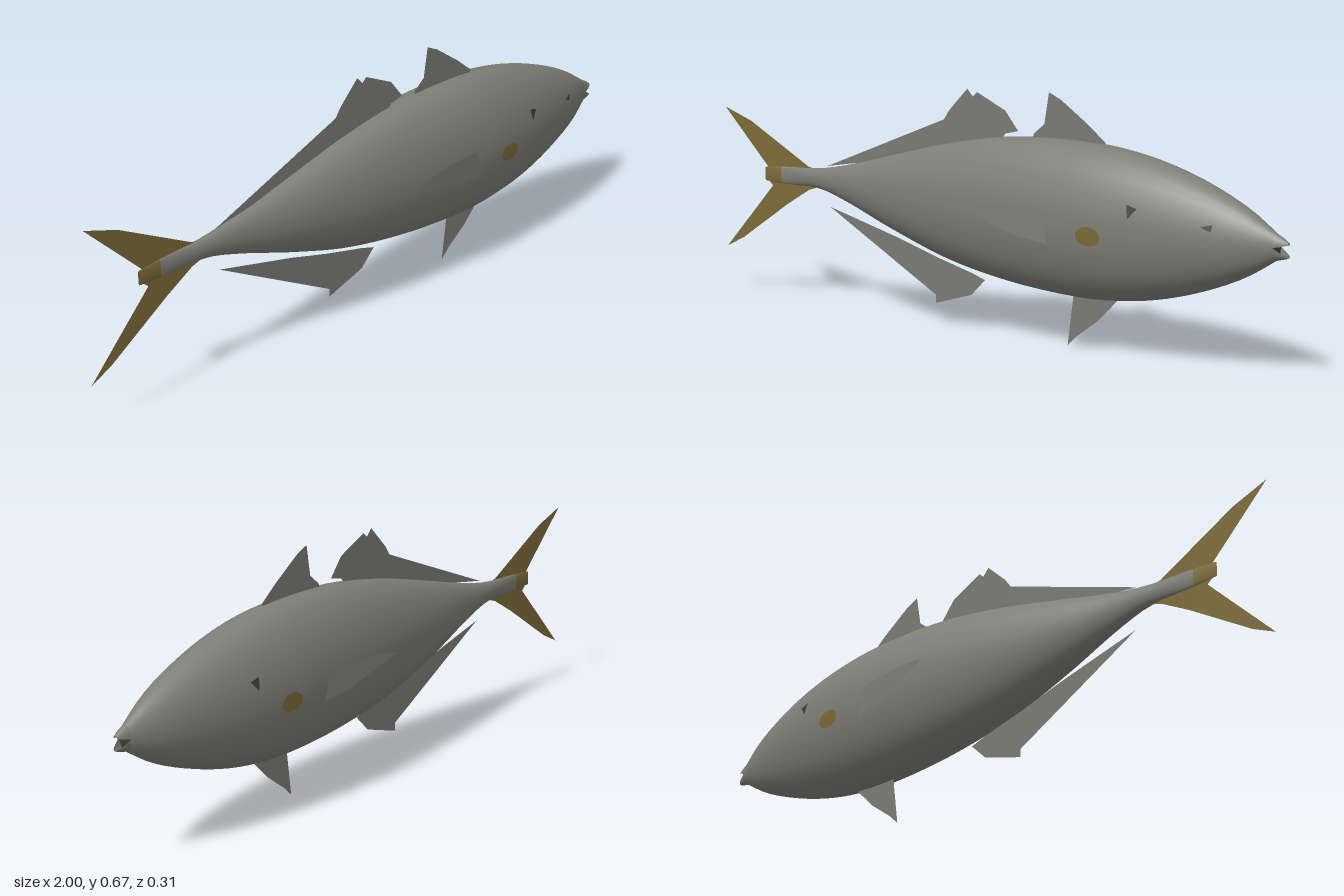
import * as THREE from 'three';
import { mergeVertices } from 'three/addons/utils/BufferGeometryUtils.js';

const mat = (name, color) => {
  const m = new THREE.MeshStandardMaterial({ color, side: THREE.DoubleSide });
  m.name = name;
  return m;
};

// Body stations: x, top, bottom, half width
const stations = [
  [-0.83, 0.378, 0.338, 0.002], [-0.75, 0.385, 0.335, 0.006], [-0.6, 0.393, 0.333, 0.018],
  [-0.5, 0.41, 0.308, 0.03], [-0.3, 0.458, 0.243, 0.066], [-0.1, 0.505, 0.186, 0.095],
  [0.1, 0.537, 0.152, 0.114], [0.3, 0.546, 0.136, 0.124], [0.45, 0.54, 0.136, 0.123],
  [0.6, 0.516, 0.155, 0.11], [0.75, 0.473, 0.195, 0.085], [0.88, 0.417, 0.247, 0.052],
  [0.965, 0.365, 0.297, 0.019],
];
const profile = new THREE.CubicInterpolant(
  stations.map(s => s[0]), stations.flatMap(s => s.slice(1)), 3);
const sectionAt = x => [x, ...profile.evaluate(x)];

// Skin over elliptical rings, from angle a0 to a1 measured from the top
function loft(rings, a0 = 0, a1 = Math.PI * 2, n = 32) {
  const pos = [], idx = [];
  rings.forEach(([x, top, bottom, w], i) => {
    for (let j = 0; j <= n; j++) {
      const a = a0 + (a1 - a0) * j / n;
      pos.push(x, (top + bottom) / 2 + (top - bottom) / 2 * Math.cos(a), w * Math.sin(a));
      if (i && j) {
        const q = i * (n + 1) + j, p = q - n - 1;
        idx.push(p - 1, p, q - 1, p, q, q - 1);
      }
    }
  });
  const g = new THREE.BufferGeometry();
  g.setAttribute('position', new THREE.Float32BufferAttribute(pos, 3));
  g.setIndex(idx);
  const merged = mergeVertices(g, 1e-5);
  merged.computeVertexNormals();
  return merged;
}
const span = (x0, x1, n) =>
  Array.from({ length: n + 1 }, (_, i) => sectionAt(x0 + (x1 - x0) * i / n));

// Half width of the body at a given point on its flank
function flankZ(x, y) {
  const [, top, bottom, w] = sectionAt(x);
  const t = (y - (top + bottom) / 2) / ((top - bottom) / 2);
  return w * Math.sqrt(Math.max(0, 1 - t * t));
}

const flat = pts => new THREE.ShapeGeometry(new THREE.Shape(pts.map(p => new THREE.Vector2(...p))));

// Move a flat patch onto the flank on the given side
function onFlank(geometry, side, lift = 0.002) {
  const p = geometry.attributes.position;
  for (let i = 0; i < p.count; i++) p.setZ(i, side * (flankZ(p.getX(i), p.getY(i)) + lift));
  geometry.computeVertexNormals();
  return geometry;
}

export function createModel() {
  const skin = mat('greySkin', 0x7d7e75);
  const finGrey = mat('finGrey', 0x7a7a74);
  const ochre = mat('ochre', 0x7c6a38);
  const dark = mat('darkGrey', 0x3c3c39);
  const fish = new THREE.Group();
  fish.name = 'fish';
  const add = (name, geometry, material, z = 0) => {
    const m = new THREE.Mesh(geometry, material);
    m.name = name;
    m.position.z = z;
    fish.add(m);
  };

  // Body and tail root
  add('body', loft(span(-0.76, 0.965, 48)), skin);
  add('tailRoot', loft(span(-0.83, -0.76, 4)), ochre);

  // Open mouth: two jaws and a dark throat
  add('upperJaw', loft([[0.965, 0.365, 0.297, 0.019], [0.985, 0.355, 0.315, 0.014],
    [1, 0.345, 0.333, 0.006]], -Math.PI / 2, Math.PI / 2, 16), skin);
  add('lowerJaw', loft([[0.965, 0.365, 0.297, 0.019], [0.985, 0.335, 0.302, 0.014],
    [1, 0.318, 0.306, 0.006]], Math.PI / 2, Math.PI * 1.5, 16), skin);
  add('throat', loft([[0.965, 0.365, 0.297, 0.019], [0.966, 0.331, 0.331, 0]]), dark);

  // Fins on the centre line
  add('frontDorsalFin', flat([[0.195, 0.54], [0.2, 0.553], [0.235, 0.58], [0.25, 0.665], [0.29, 0.648],
    [0.38, 0.59], [0.44, 0.545], [0.4, 0.53], [0.25, 0.53]]), finGrey, 0.003);
  add('rearDorsalFin', flat([[-0.57, 0.402], [-0.12, 0.568], [-0.1, 0.595], [-0.035, 0.657], [-0.015, 0.637],
    [0, 0.65], [0.1, 0.607], [0.145, 0.555], [0.1, 0.545], [0.08, 0.52], [-0.1, 0.49], [-0.3, 0.445]]),
  finGrey, 0.003);
  add('analFin', flat([[-0.56, 0.285], [-0.15, 0.078], [-0.15, 0.055], [-0.02, 0.093], [0.03, 0.14],
    [-0.02, 0.155], [-0.15, 0.185], [-0.3, 0.225]]), finGrey, 0.004);
  add('pelvicFin', flat([[0.32, 0], [0.35, 0.028], [0.42, 0.078], [0.49, 0.145], [0.4, 0.15],
    [0.34, 0.145]]), finGrey, 0.006);

  // Forked tail
  add('tailFin', flat([[-1, 0.545], [-0.89, 0.51], [-0.65, 0.393], [-0.6, 0.385], [-0.6, 0.34],
    [-0.65, 0.325], [-0.74, 0.275], [-0.93, 0.157], [-1, 0.125], [-0.8, 0.325], [-0.83, 0.35],
    [-0.82, 0.38]]), ochre);

  for (const side of [1, -1]) {
    const label = side > 0 ? 'Front' : 'Back';

    // Pectoral fin, leaning out towards its rear tip
    const fin = flat([[0.06, 0.36], [0.25, 0.3], [0.345, 0.288], [0.32, 0.37], [0.15, 0.372]]);
    const p = fin.attributes.position;
    for (let i = 0; i < p.count; i++) p.setZ(i, side * (0.125 + 0.028 * (0.345 - p.getX(i)) / 0.285));
    fin.computeVertexNormals();
    add('pectoralFin' + label, fin, skin);

    // Ochre cheek spot
    const spot = new THREE.CircleGeometry(1, 20);
    spot.scale(0.038, 0.025, 1).translate(0.475, 0.32, 0);
    add('cheekSpot' + label, onFlank(spot, side), ochre);

    // Small eye
    add('eye' + label, onFlank(flat([[0.585, 0.41], [0.615, 0.402], [0.592, 0.375]]), side), dark);
  }

  // Nostril
  add('nostril', onFlank(flat([[0.79, 0.37], [0.82, 0.378], [0.818, 0.36]]), 1), dark);
  return fish;
}
